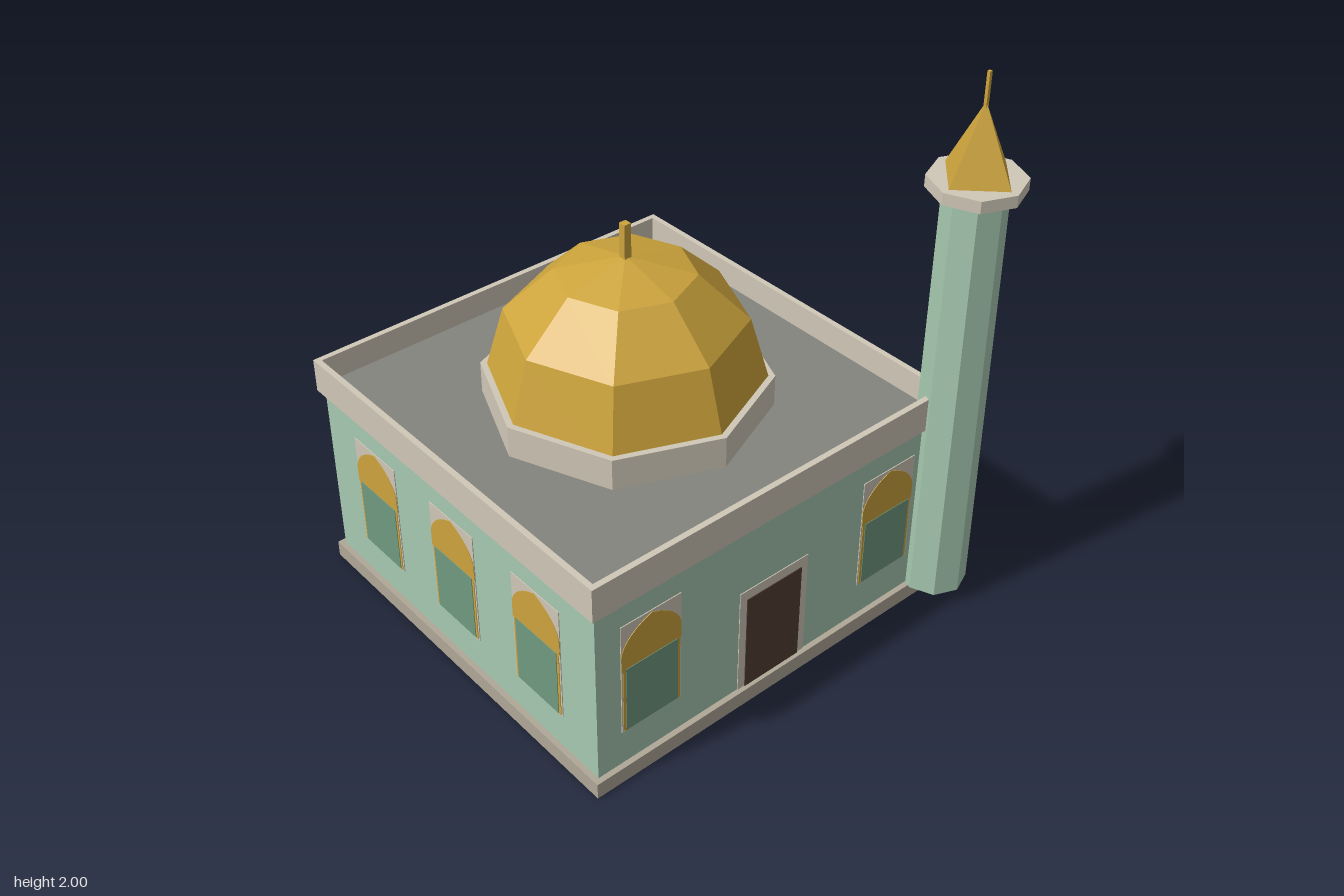
import * as THREE from 'three';

const mat = (name, color) => new THREE.MeshStandardMaterial({ name, color, flatShading: true });

export function createModel() {
  const mint = mat('mint wall', 0xa6c9b0);
  const stone = mat('pale stone', 0xd0c8b8);
  const plinthStone = mat('plinth stone', 0xb0a898);
  const slate = mat('grey roof', 0x84847e);
  const gold = mat('gold', 0xcda43c);
  const glass = mat('green glass', 0x6f9a80);
  const wood = mat('dark wood', 0x523f34);

  const model = new THREE.Group();
  model.name = 'domedBuilding';
  const add = (parent, name, geo, material, x = 0, y = 0, z = 0) => {
    const m = new THREE.Mesh(geo, material);
    m.name = name;
    m.position.set(x, y, z);
    parent.add(m);
    return m;
  };
  const box = (w, y0, y1, d = w) => new THREE.BoxGeometry(w, y1 - y0, d).translate(0, (y0 + y1) / 2, 0);
  const prism = (rTop, rBottom, y0, y1, sides) =>
    new THREE.CylinderGeometry(rTop, rBottom, y1 - y0, sides).translate(0, (y0 + y1) / 2, 0);

  // Square hollow frame standing between two heights
  const frame = (half, thick, y0, y1) => {
    const square = (Type, h) => new Type([[-h, -h], [h, -h], [h, h], [-h, h]].map(p => new THREE.Vector2(...p)));
    const s = square(THREE.Shape, half);
    s.holes.push(square(THREE.Path, half - thick));
    return new THREE.ExtrudeGeometry(s, { depth: y1 - y0, bevelEnabled: false })
      .rotateX(-Math.PI / 2).translate(0, y0, 0);
  };
  // Thin plate standing on a wall
  const plate = (w, y0, y1) => new THREE.BoxGeometry(w, y1 - y0, 0.004).translate(0, (y0 + y1) / 2, 0);

  // Main hall
  const hall = new THREE.Group();
  hall.name = 'hall';
  hall.position.set(-0.088, 0, -0.088);
  model.add(hall);
  const wallHalf = 0.727;
  add(hall, 'plinth', frame(0.747, 0.021, 0, 0.06), plinthStone);
  add(hall, 'floor', box(1.46, 0.05, 0.059), slate);
  add(hall, 'walls', box(wallHalf * 2, 0.06, 0.75), mint);
  add(hall, 'roof', box(wallHalf * 2, 0.75, 0.765), slate);
  add(hall, 'parapet', frame(0.747, 0.021, 0.735, 0.86), stone);

  // Dome on an octagonal drum
  add(hall, 'drum', prism(0.49, 0.49, 0.76, 0.88, 8), stone);
  const domeGeo = new THREE.SphereGeometry(0.467, 8, 3, 0, Math.PI * 2, 0, Math.PI / 2);
  domeGeo.scale(1, 0.44 / 0.467, 1);
  add(hall, 'dome', domeGeo, gold, 0, 0.88, 0);
  add(hall, 'domeFinial', box(0.027, 1.3, 1.44), gold);

  // Pointed arch outline of the gold surround
  const arch = new THREE.Shape();
  arch.moveTo(-0.113, 0.2);
  arch.lineTo(0.113, 0.2);
  arch.lineTo(0.113, 0.45);
  arch.lineTo(0.118, 0.46);
  arch.lineTo(0.118, 0.52);
  arch.quadraticCurveTo(0.1, 0.59, 0, 0.627);
  arch.quadraticCurveTo(-0.1, 0.59, -0.118, 0.52);
  arch.lineTo(-0.118, 0.46);
  arch.lineTo(-0.113, 0.45);
  const archGeo = new THREE.ExtrudeGeometry(arch, { depth: 0.003, bevelEnabled: false, curveSegments: 6 });

  const addWindow = (wall, x) => {
    const w = new THREE.Group();
    w.name = 'window';
    w.position.set(x, 0, wallHalf);
    wall.add(w);
    add(w, 'windowPanel', plate(0.238, 0.195, 0.633), stone, 0, 0, 0.001);
    add(w, 'windowArch', archGeo, gold, 0, 0, 0.002);
    add(w, 'windowGlass', plate(0.206, 0.202, 0.457), glass, 0, 0, 0.005);
  };

  // Four sides: two windows and a door in front, three windows on the others
  ['front', 'left', 'back', 'right'].forEach((side, i) => {
    const wall = new THREE.Group();
    wall.name = side + 'Openings';
    wall.rotation.y = i * Math.PI / 2;
    hall.add(wall);
    (i === 0 ? [-0.513, 0.513] : [-0.44, 0, 0.44]).forEach(x => addWindow(wall, x));
    if (i === 0) {
      add(wall, 'doorFrame', plate(0.296, 0.06, 0.475), stone, 0, 0, wallHalf + 0.001);
      add(wall, 'door', plate(0.238, 0.06, 0.438), wood, 0, 0, wallHalf + 0.004);
    }
  });

  // Corner tower
  const tower = new THREE.Group();
  tower.name = 'tower';
  tower.position.set(0.67, 0, 0.67);
  model.add(tower);
  add(tower, 'towerShaft', prism(0.105, 0.117, 0.06, 1.62, 8), mint);
  add(tower, 'towerBalcony', prism(0.158, 0.158, 1.61, 1.652, 8), stone);
  add(tower, 'towerSpire', new THREE.ConeGeometry(0.131, 0.25, 4), gold, 0, 1.777, 0);
  add(tower, 'towerFinial', box(0.011, 1.87, 2), gold);

  return model;
}
